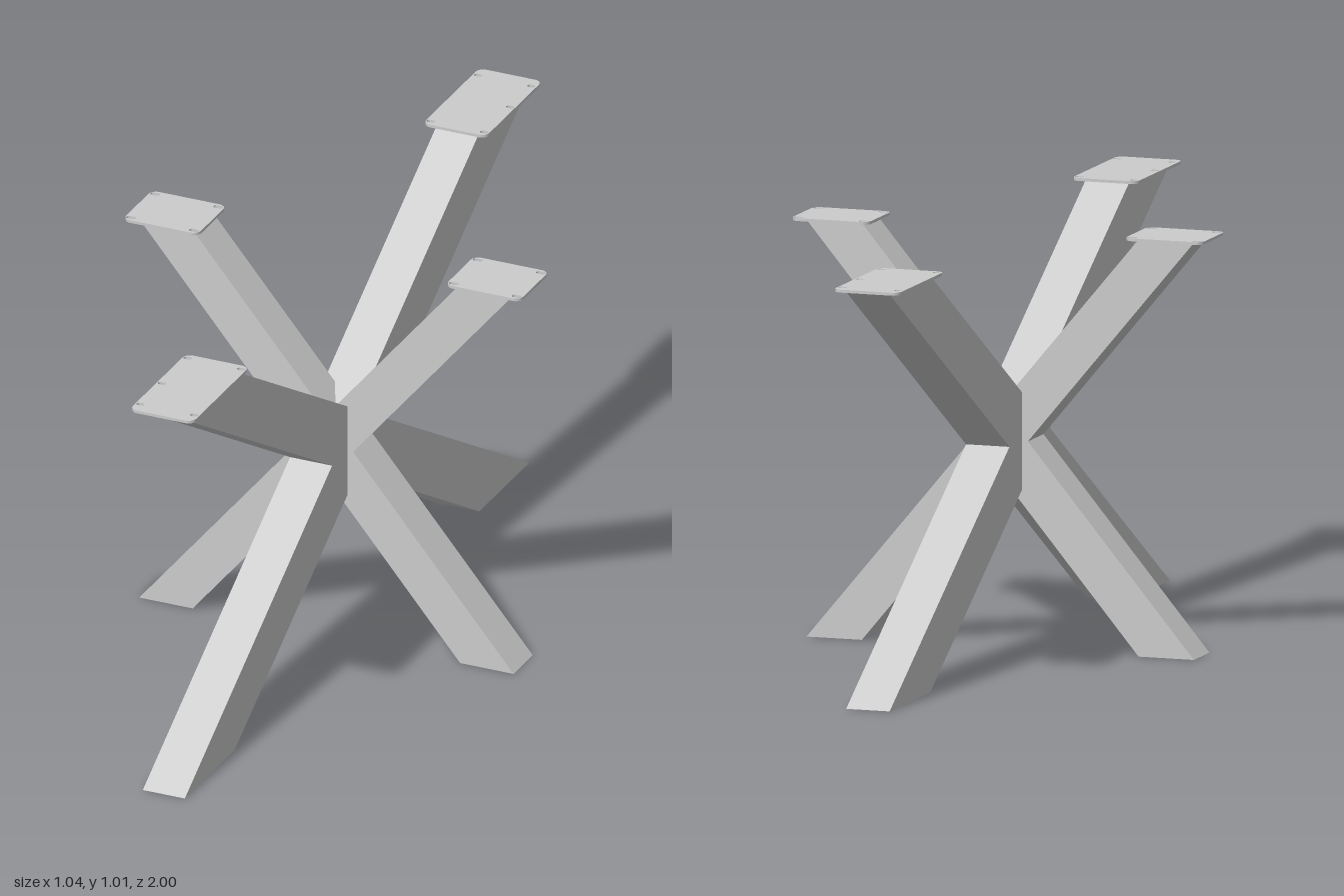
import * as THREE from 'three';

const TOP = 1.007, PLATE = 0.007, HALF = 0.055;
const material = new THREE.MeshStandardMaterial({ color: 0xcccccc });

// X-shaped pair of crossing square beams, feet spanning inner..outer on each side
function crossFrame(name, inner, outer) {
  const mid = TOP / 2;
  const waist = (outer - inner) / 2;
  const notch = mid * (outer - inner) / (outer + inner);
  const shape = new THREE.Shape([
    [outer, 0], [waist, mid], [outer, TOP], [inner, TOP], [0, mid + notch], [-inner, TOP],
    [-outer, TOP], [-waist, mid], [-outer, 0], [-inner, 0], [0, mid - notch], [inner, 0],
  ].map(([x, y]) => new THREE.Vector2(x, y)));
  const geometry = new THREE.ExtrudeGeometry(shape, { depth: 2 * HALF, bevelEnabled: false });
  geometry.translate(0, 0, -HALF);
  const mesh = new THREE.Mesh(geometry, material);
  mesh.name = name;
  return mesh;
}

// Rounded rectangle outline, also used for the screw slots
function roundedRect(path, cx, cy, w, h, r) {
  const x = w / 2 - r, y = h / 2 - r;
  path.absarc(cx + x, cy + y, r, 0, Math.PI / 2);
  path.absarc(cx - x, cy + y, r, Math.PI / 2, Math.PI);
  path.absarc(cx - x, cy - y, r, Math.PI, Math.PI * 1.5);
  path.absarc(cx + x, cy - y, r, Math.PI * 1.5, Math.PI * 2);
  path.closePath();
  return path;
}

// Thin mounting plate; local x points outward from the centre
function mountingPlate(name, start, end, holes, slotW, slotH, angle) {
  const shape = roundedRect(new THREE.Shape(), (start + end) / 2, 0, end - start, 0.166, 0.02);
  for (const [x, y] of holes) {
    shape.holes.push(roundedRect(new THREE.Path(), x, y, slotW, slotH, 0.006));
  }
  const geometry = new THREE.ExtrudeGeometry(shape, { depth: PLATE, bevelEnabled: false, curveSegments: 6 });
  geometry.rotateX(-Math.PI / 2);
  const mesh = new THREE.Mesh(geometry, material);
  mesh.name = name;
  mesh.position.y = TOP;
  mesh.rotation.y = angle;
  return mesh;
}

export function createModel() {
  const group = new THREE.Group();
  group.name = 'tableBase';

  // Crossing leg frames
  const shortFrame = crossFrame('shortLegFrame', 0.35, 0.49);
  const longFrame = crossFrame('longLegFrame', 0.70, 0.985);
  longFrame.rotation.y = Math.PI / 2;
  group.add(shortFrame, longFrame);

  // Short-side plates with four slots, long-side plates with a fifth on one edge
  const shortHoles = [[0.34, 0.069], [0.34, -0.069], [0.505, 0.069], [0.505, -0.069]];
  const longHoles = [[0.695, 0.07], [0.695, -0.07], [0.965, 0.07], [0.965, -0.07], [0.843, -0.07]];
  group.add(
    mountingPlate('leftPlate', 0.324, 0.52, shortHoles, 0.024, 0.013, 0),
    mountingPlate('rightPlate', 0.324, 0.52, shortHoles, 0.024, 0.013, Math.PI),
    mountingPlate('frontPlate', 0.677, 1.0, longHoles, 0.013, 0.02, -Math.PI / 2),
    mountingPlate('backPlate', 0.677, 1.0, longHoles, 0.013, 0.02, Math.PI / 2),
  );
  return group;
}
